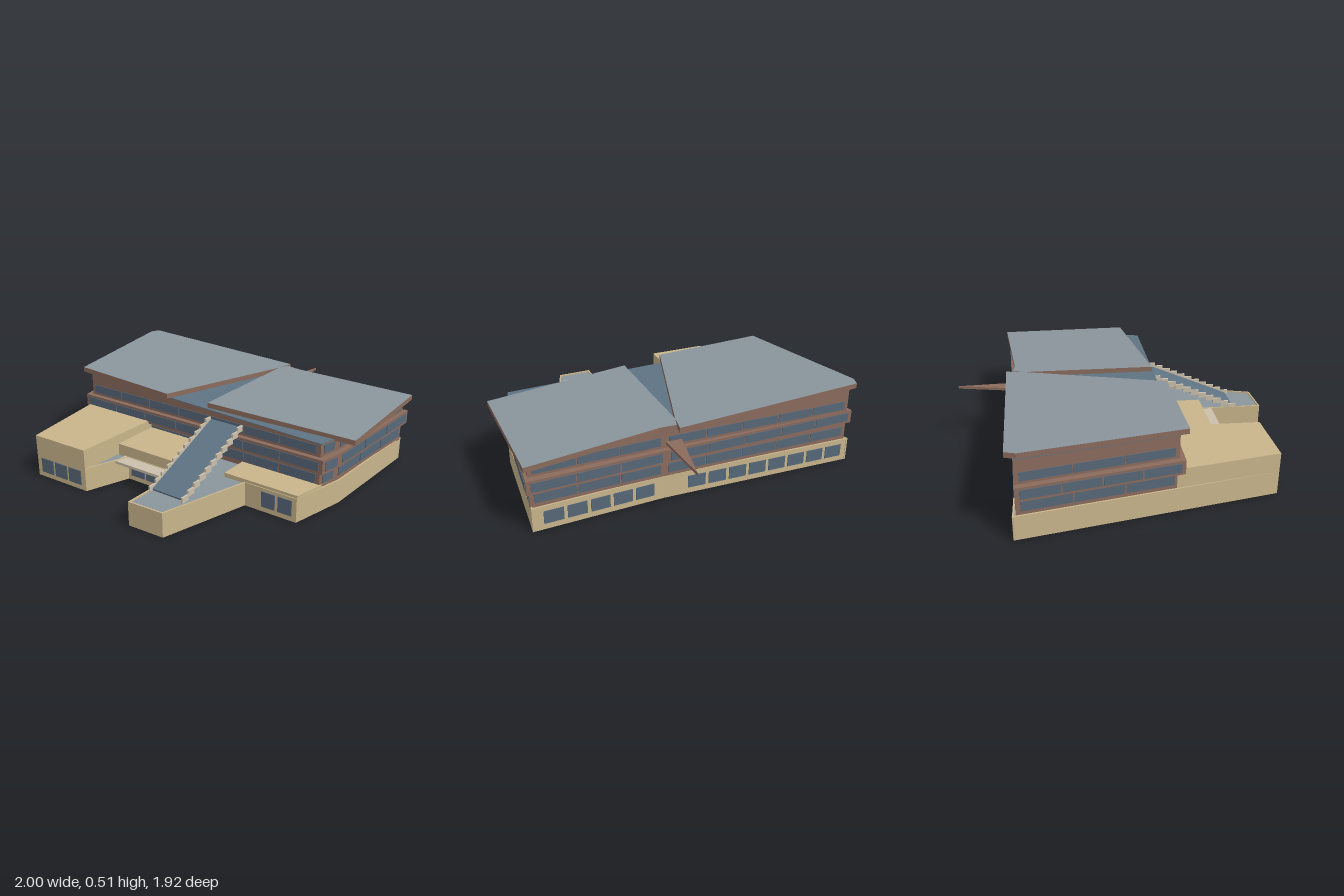
import * as THREE from 'three';

const mat = (name, color, side = THREE.FrontSide) => {
  const m = new THREE.MeshStandardMaterial({ color, side });
  m.name = name;
  return m;
};

export function createModel() {
  const root = new THREE.Group();
  root.name = 'building';
  const sand = mat('sand wall', 0xc9b58b);
  const brown = mat('brown cladding', 0x8b6b5d);
  const roofGrey = mat('roof grey', 0x8a959c, THREE.DoubleSide);
  const glass = mat('blue glass', 0x5e7383);
  const pane = mat('window pane', 0x576879);
  const stone = mat('pale stone', 0xcbc0ab);

  const add = (geo, material, name, parent = root) => {
    const m = new THREE.Mesh(geo, material);
    m.name = name;
    parent.add(m);
    return m;
  };
  const outline = pts => new THREE.Shape(pts.map(([x, z]) => new THREE.Vector2(x, -z)));

  // Upright prism over an [x, z] outline; bottom and top may slope with x
  const prism = (pts, low, high, material, name) => {
    const geo = new THREE.ExtrudeGeometry(outline(pts), { depth: 1, bevelEnabled: false });
    geo.rotateX(-Math.PI / 2);
    const p = geo.attributes.position;
    const at = (f, x) => (typeof f === 'function' ? f(x) : f);
    for (let i = 0; i < p.count; i++) p.setY(i, at(p.getY(i) > 0.5 ? high : low, p.getX(i)));
    geo.computeVertexNormals();
    return add(geo, material, name);
  };

  // Box standing along a plan segment; shift moves it along the outward normal
  const panel = (a, b, y0, y1, thick, shift, material, name, parent) => {
    const dx = b[0] - a[0], dz = b[1] - a[1], len = Math.hypot(dx, dz);
    const m = add(new THREE.BoxGeometry(len, y1 - y0, thick), material, name, parent);
    m.position.set((a[0] + b[0]) / 2 + dz / len * shift, (y0 + y1) / 2, (a[1] + b[1]) / 2 - dx / len * shift);
    m.rotation.y = Math.atan2(-dz, dx);
  };

  // Row of n panes on the part t0..t1 of a wall segment
  const panes = (a, b, t0, t1, n, gap, y0, y1, name) => {
    const g = new THREE.Group();
    g.name = name;
    root.add(g);
    const len = Math.hypot(b[0] - a[0], b[1] - a[1]);
    const at = t => [a[0] + (b[0] - a[0]) * t, a[1] + (b[1] - a[1]) * t];
    const step = (t1 - t0) / n, h = gap / len / 2;
    for (let i = 0; i < n; i++) {
      panel(at(t0 + i * step + h), at(t0 + (i + 1) * step - h), y0, y1, 0.006, 0.001, pane, 'window', g);
    }
  };

  // Ground floor: open shell of walls carrying a deck
  const base = [[-0.98, -0.62], [0.2, -0.6], [0.95, -0.64], [0.91, 0.1], [0.83, 0.43], [0.51, 0.43],
    [0.36, 0.95], [0.14, 0.96], [0.14, 0.56], [-0.22, 0.56], [-0.31, 0.82], [-0.69, 0.83]];
  base.forEach((a, i) => panel(a, base[(i + 1) % base.length], 0, 0.14, 0.01, -0.005, sand, 'groundWall'));
  const deck = new THREE.ShapeGeometry(outline(base));
  deck.rotateX(-Math.PI / 2);
  add(deck, roofGrey, 'deck').position.y = 0.131;

  panes(base[0], base[1], 0.03, 0.89, 8, 0.02, 0.035, 0.11, 'backWindowsRight');
  panes(base[1], base[2], 0.07, 0.93, 5, 0.02, 0.035, 0.11, 'backWindowsLeft');
  panes(base[10], base[11], 0.07, 0.93, 3, 0.014, 0.03, 0.118, 'wingWindows');
  panes(base[8], base[9], 0.02, 0.95, 3, 0.012, 0.03, 0.115, 'entranceWindows');
  panes(base[4], base[5], 0.06, 0.7, 2, 0.018, 0.03, 0.12, 'sideWindows');

  // Raised blocks on the deck, and the entrance canopy
  prism([[-0.8, 0.24], [-0.3, 0.24], [-0.31, 0.82], [-0.69, 0.83]], 0.125, 0.253, sand, 'wingBlock');
  prism([[-0.3, 0.24], [0.14, 0.24], [0.14, 0.555], [-0.295, 0.555]], 0.125, 0.203, sand, 'middleBlock');
  prism([[0.37, 0.24], [0.87, 0.24], [0.83, 0.425], [0.37, 0.425]], 0.125, 0.156, sand, 'sideBlock');
  prism([[-0.25, 0.5], [0.14, 0.5], [0.14, 0.64], [-0.25, 0.64]], 0.122, 0.138, stone, 'canopy');

  // Upper storeys, the middle one projecting
  const narrow = [[-0.965, -0.6], [0.2, -0.6], [0.95, -0.62], [0.89, 0.12], [0.86, 0.25], [-0.79, 0.25]];
  const wide = [[-1, -0.6], [0.2, -0.63], [0.97, -0.66], [0.92, 0.14], [0.89, 0.28], [-0.82, 0.28]];
  const lowRoof = x => 0.42 - 0.035 * x;
  prism(narrow, 0.131, 0.24, brown, 'lowerStorey');
  prism(wide, 0.235, 0.316, brown, 'middleStorey');
  prism(narrow, 0.31, lowRoof, brown, 'upperStorey');
  prism(narrow, lowRoof, x => lowRoof(x) + 0.004, glass, 'lowerRoof');
  for (const [ring, y0, y1] of [[narrow, 0.16, 0.215], [wide, 0.25, 0.302], [narrow, 0.332, 0.382]]) {
    ring.forEach((a, i) => {
      const b = ring[(i + 1) % ring.length];
      const len = Math.hypot(b[0] - a[0], b[1] - a[1]);
      const m = 0.02 / len;
      panes(a, b, m, 1 - m, Math.max(1, Math.round(len / 0.25)), 0.008, y0, y1, 'storeyWindows');
    });
  }

  // Two tilted roof panels with brown fascias, split by a diagonal opening
  const roofY = x => 0.456 - 0.05 * x;
  const panels = {
    Right: [[-0.98, -0.64], [0.14, -0.66], [0.12, -0.55], [-0.14, 0.29], [-0.82, 0.29], [-1, -0.58]],
    Left: [[0.12, -0.55], [0.14, -0.62], [0.23, -0.61], [0.98, -0.68], [1, 0.14], [0.12, 0.24]],
  };
  for (const [side, pts] of Object.entries(panels)) {
    prism(pts, x => roofY(x) - 0.026, roofY, brown, 'fascia' + side);
    prism(pts, roofY, x => roofY(x) + 0.004, [roofGrey, brown], 'roof' + side);
  }

  // Pointed fin at the back
  prism([[0.1, -0.59], [0.175, -0.96], [0.195, -0.59]], 0.338, 0.354, brown, 'backFin');

  // Outside stair: sloping slab between stepped stringers
  const steps = 11, run = 0.55 / steps, rise = 0.24 / steps;
  const top = [], under = [];
  for (let i = 0; i < steps; i++) {
    const z = 0.8 - i * run, y = 0.14 + i * rise;
    top.push([z, y + rise], [z - run, y + rise]);
    under.push([z, y - 0.012], [z - run, y - 0.012]);
  }
  const profile = new THREE.Shape([...top, ...under.reverse()].map(([z, y]) => new THREE.Vector2(-z, y)));
  for (const x of [0.142, 0.36]) {
    const geo = new THREE.ExtrudeGeometry(profile, { depth: 0.012, bevelEnabled: false });
    geo.rotateY(Math.PI / 2);
    add(geo, stone, 'stairStringer').position.x = x;
  }
  const slab = add(new THREE.BoxGeometry(0.21, 0.012, Math.hypot(0.53, 0.225)), glass, 'stairSlab');
  slab.position.set(0.257, 0.25, 0.515);
  slab.rotation.x = Math.atan2(0.225, 0.53);

  return root;
}
